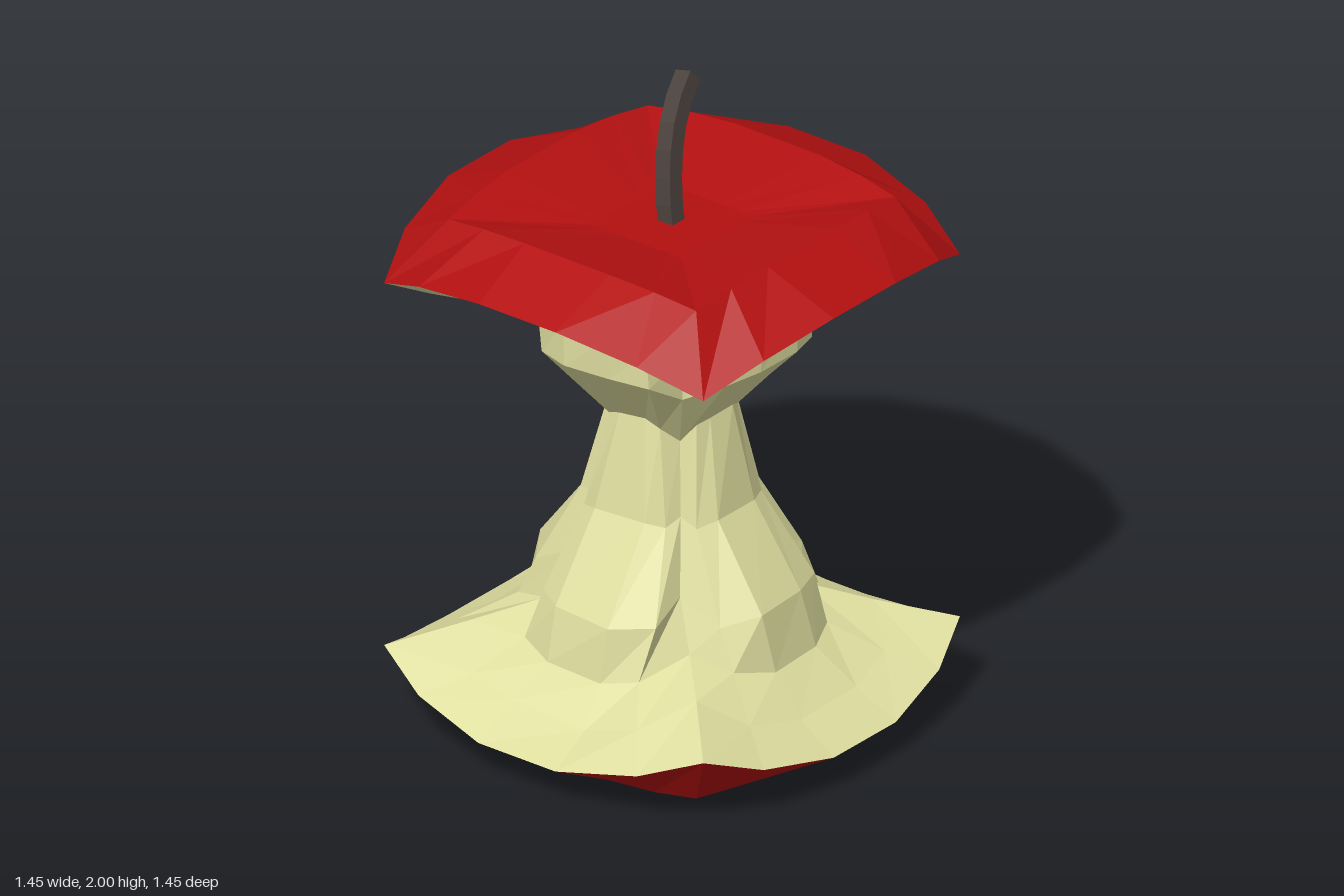
import * as THREE from 'three';

// Seeded noise for a hand-carved look
let seed = 7;
const rand = () => {
  seed = (seed * 16807) % 2147483647;
  return seed / 2147483647 - 0.5;
};

// Four-sided ring of 20 points: c = corner, a = outer shoulder, b = middle of each side; each [x, z, y]
function ring(c, a, b, jitter = 0) {
  const flip = ([x, z, y]) => [-x, z, y];
  const side = [flip(c), flip(a), flip(b), b, a];
  const pts = [];
  for (let k = 0; k < 4; k++) {
    for (const p of side) {
      let [x, z, y] = p;
      for (let i = 0; i < k; i++) [x, z] = [z, -x];
      pts.push(new THREE.Vector3(x + rand() * jitter, y + rand() * jitter, z + rand() * jitter));
    }
  }
  return pts;
}

const centre = (y) => ring([0, 0, y], [0, 0, y], [0, 0, y]);

// Faceted surface through rings listed from bottom to top
function loft(rings) {
  const pos = [];
  const tri = (p, q, r) => {
    const area = q.clone().sub(p).cross(r.clone().sub(p)).length();
    if (area > 1e-7) for (const v of [p, q, r]) pos.push(v.x, v.y, v.z);
  };
  for (let j = 0; j < rings.length - 1; j++) {
    const lo = rings[j], hi = rings[j + 1], n = lo.length;
    for (let i = 0; i < n; i++) {
      const k = (i + 1) % n;
      tri(lo[i], lo[k], hi[k]);
      tri(lo[i], hi[k], hi[i]);
    }
  }
  const g = new THREE.BufferGeometry();
  g.setAttribute('position', new THREE.Float32BufferAttribute(pos, 3));
  g.computeVertexNormals();
  return g;
}

export function createModel() {
  const group = new THREE.Group();
  const material = (name, color) => {
    const m = new THREE.MeshStandardMaterial({ color });
    m.name = name;
    return m;
  };
  const red = material('red skin', 0xb31010);
  const cream = material('cream flesh', 0xdedd9f);
  const brown = material('brown stem', 0x4a403b);
  const add = (name, geometry, mat) => {
    const mesh = new THREE.Mesh(geometry, mat);
    mesh.name = name;
    group.add(mesh);
  };

  // Bitten edges shared by skin and flesh
  const baseEdge = ring([0.6, 0.6, 0.245], [0.41, 0.675, 0.17], [0.145, 0.725, 0.12]);
  const lidEdge = ring([0.6, 0.6, 1.44], [0.41, 0.675, 1.52], [0.145, 0.725, 1.57]);

  // Bottom skin with a shallow hollow
  add('bottomSkin', loft([
    centre(0.05),
    ring([0.17, 0.17, 0.05], [0.12, 0.17, 0.05], [0.05, 0.17, 0.05]),
    ring([0.465, 0.465, 0.03], [0.32, 0.48, 0.01], [0.15, 0.49, 0]),
    baseEdge,
  ]), red);

  // Flesh: flared base, lobed core with a narrow neck, underside of the lid
  add('core', loft([
    baseEdge,
    ring([0.42, 0.42, 0.32], [0.31, 0.55, 0.235], [0.13, 0.58, 0.2], 0.02),
    ring([0.27, 0.27, 0.37], [0.22, 0.41, 0.32], [0.1, 0.46, 0.29], 0.02),
    ring([0.22, 0.22, 0.52], [0.21, 0.36, 0.46], [0.1, 0.42, 0.47], 0.03),
    ring([0.165, 0.165, 0.73], [0.15, 0.215, 0.71], [0.09, 0.245, 0.72], 0.02),
    ring([0.125, 0.125, 0.96], [0.095, 0.17, 1.01], [0.05, 0.185, 1.03], 0.012),
    ring([0.235, 0.235, 1.18], [0.2, 0.36, 1.25], [0.08, 0.4, 1.26], 0.012),
    ring([0.24, 0.24, 1.32], [0.2, 0.37, 1.375], [0.08, 0.405, 1.395], 0.012),
    ring([0.5, 0.5, 1.405], [0.34, 0.54, 1.45], [0.13, 0.56, 1.485], 0.02),
    lidEdge,
  ]), cream);

  // Top skin dipping towards the stem
  add('topSkin', loft([
    lidEdge,
    ring([0.465, 0.465, 1.64], [0.32, 0.48, 1.66], [0.16, 0.49, 1.67]),
    ring([0.17, 0.17, 1.6], [0.12, 0.17, 1.6], [0.05, 0.17, 1.6]),
    centre(1.6),
  ]), red);

  // Square bent stem
  const s = 0.028;
  const square = new THREE.Shape([
    new THREE.Vector2(-s, -s), new THREE.Vector2(s, -s),
    new THREE.Vector2(s, s), new THREE.Vector2(-s, s),
  ]);
  const path = new THREE.CatmullRomCurve3([
    new THREE.Vector3(0, 1.57, 0),
    new THREE.Vector3(0.01, 1.68, -0.02),
    new THREE.Vector3(0.045, 1.8, -0.045),
    new THREE.Vector3(0.105, 1.9, -0.07),
    new THREE.Vector3(0.188, 1.977, -0.09),
  ]);
  add('stem', new THREE.ExtrudeGeometry(square, { steps: 6, extrudePath: path, bevelEnabled: false }), brown);

  return group;
}
